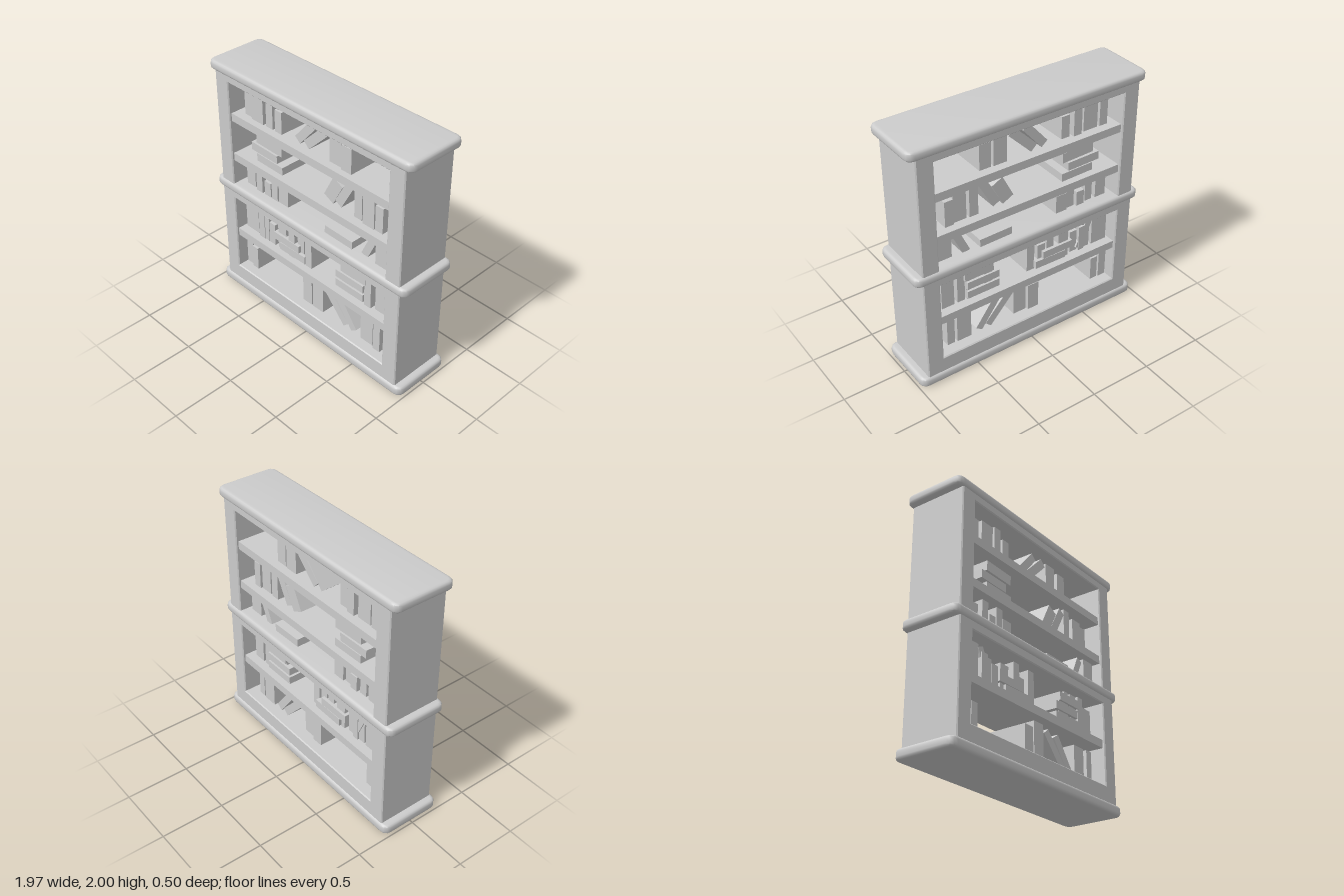
import * as THREE from 'three';
import { toCreasedNormals } from 'three/addons/utils/BufferGeometryUtils.js';

const material = new THREE.MeshStandardMaterial({ color: 0xcccccc });

function add(parent, name, geometry, x = 0, y = 0, z = 0) {
  const mesh = new THREE.Mesh(geometry, material);
  mesh.name = name;
  mesh.position.set(x, y, z);
  parent.add(mesh);
  return mesh;
}

// Rectangle outline traced between two corners
function rect(target, x0, y0, x1, y1) {
  target.moveTo(x0, y0).lineTo(x1, y0).lineTo(x1, y1).lineTo(x0, y1).closePath();
  return target;
}

// Rounded moulding board lying flat between two heights
function mouldingGeometry(height) {
  const b = 0.024, r = 0.035, w = 0.985 - b, d = 0.25 - b;
  const s = new THREE.Shape();
  s.moveTo(-w + r, -d).lineTo(w - r, -d).quadraticCurveTo(w, -d, w, -d + r);
  s.lineTo(w, d - r).quadraticCurveTo(w, d, w - r, d);
  s.lineTo(-w + r, d).quadraticCurveTo(-w, d, -w, d - r);
  s.lineTo(-w, -d + r).quadraticCurveTo(-w, -d, -w + r, -d);
  const g = new THREE.ExtrudeGeometry(s, {
    depth: height - 2 * b, bevelThickness: b, bevelSize: b, bevelSegments: 3, curveSegments: 3,
  });
  g.translate(0, 0, b).rotateX(-Math.PI / 2);
  return toCreasedNormals(g, 0.7);
}

// Open case: a full-depth frame with softened edges
function caseGeometry(y0, y1, open0, open1) {
  const b = 0.008;
  const s = rect(new THREE.Shape(), -0.925 + b, y0 + b, 0.925 - b, y1 - b);
  s.holes.push(rect(new THREE.Path(), -0.79 - b, open0 - b, 0.79 + b, open1 + b));
  const g = new THREE.ExtrudeGeometry(s, {
    depth: 0.47 - 2 * b, bevelThickness: b, bevelSize: b, bevelSegments: 1,
  });
  return g.translate(0, 0, b - 0.235);
}

// Upright books per shelf: floor height, then [centre x, width, top]
const uprights = [
  [1.61, [[-0.68, 0.07, 1.82], [-0.565, 0.125, 1.825], [-0.44, 0.07, 1.85], [-0.345, 0.07, 1.79],
    [0.222, 0.11, 1.845], [0.342, 0.095, 1.81]]],
  [1.27, [[0.442, 0.072, 1.55], [0.553, 0.105, 1.5], [0.647, 0.07, 1.475]]],
  [1.0, [[-0.685, 0.095, 1.147], [-0.575, 0.065, 1.195], [-0.488, 0.068, 1.12], [-0.41, 0.064, 1.205],
    [-0.318, 0.1, 1.147], [0.695, 0.122, 1.2]]],
  [0.57, [[-0.695, 0.142, 0.85], [-0.57, 0.064, 0.8], [-0.517, 0.05, 0.78], [-0.453, 0.064, 0.755],
    [-0.345, 0.09, 0.797], [-0.225, 0.064, 0.85], [-0.143, 0.068, 0.77], [-0.048, 0.068, 0.85],
    [0.34, 0.07, 0.79], [0.4, 0.045, 0.845], [0.492, 0.068, 0.85], [0.57, 0.064, 0.85],
    [0.682, 0.105, 0.797]]],
  [0.21, [[-0.748, 0.068, 0.49], [-0.67, 0.064, 0.41], [-0.066, 0.095, 0.437], [0.048, 0.11, 0.49],
    [0.558, 0.122, 0.458], [0.67, 0.064, 0.453]]],
];

// Leaning books: [x, y, thickness, height, tilt]
const leaning = [
  [-0.07, 1.735, 0.065, 0.245, -0.71], [0.035, 1.735, 0.07, 0.27, -0.785],
  [0.205, 1.388, 0.1, 0.2, -0.47], [0.313, 1.407, 0.068, 0.24, -0.5],
  [0.558, 1.09, 0.06, 0.21, -0.43], [-0.55, 0.713, 0.055, 0.27, 0.43],
  [0.245, 0.347, 0.065, 0.3, 0.735], [0.347, 0.345, 0.063, 0.275, 0.63],
];

// Books lying flat: [x, y, width, thickness, tilt]
const flat = [
  [-0.437, 1.475, 0.272, 0.078, -0.03], [-0.493, 1.387, 0.275, 0.066, -0.02], [-0.437, 1.313, 0.275, 0.064, -0.02],
  [0.277, 1.034, 0.272, 0.062, -0.02],
  [-0.281, 0.679, 0.272, 0.062, 0], [-0.215, 0.613, 0.275, 0.064, 0.02],
  [0.425, 0.782, 0.245, 0.066, 0], [0.39, 0.698, 0.275, 0.062, 0], [0.39, 0.616, 0.275, 0.062, 0],
];

export function createModel() {
  const model = new THREE.Group();
  model.name = 'bookcase';

  // Base, middle and top mouldings
  add(model, 'baseMoulding', mouldingGeometry(0.08));
  add(model, 'middleMoulding', mouldingGeometry(0.075), 0, 0.925);
  add(model, 'topMoulding', mouldingGeometry(0.075), 0, 1.925);

  // Lower and upper cases
  add(model, 'lowerCase', caseGeometry(0.04, 0.96, 0.205, 0.865));
  add(model, 'upperCase', caseGeometry(0.94, 1.96, 0.98, 1.87));

  // Shelves, set back slightly from the case faces
  for (const y of [0.535, 1.238, 1.58]) {
    add(model, 'shelf', new THREE.BoxGeometry(1.6, 0.065, 0.43), 0, y);
  }

  // Books
  const books = new THREE.Group();
  books.name = 'books';
  model.add(books);
  for (const [floor, row] of uprights) {
    row.forEach(([x, w, top], i) => {
      const depth = 0.29 + 0.01 * (i % 3);
      add(books, 'uprightBook', new THREE.BoxGeometry(w, top - floor, depth), x, (top + floor) / 2, 0.01 * (i % 2));
    });
  }
  for (const [x, y, w, h, tilt] of leaning) {
    add(books, 'leaningBook', new THREE.BoxGeometry(w, h, 0.3), x, y).rotation.z = tilt;
  }
  for (const [x, y, w, h, tilt] of flat) {
    add(books, 'flatBook', new THREE.BoxGeometry(w, h, 0.34), x, y).rotation.z = tilt;
  }
  return model;
}
